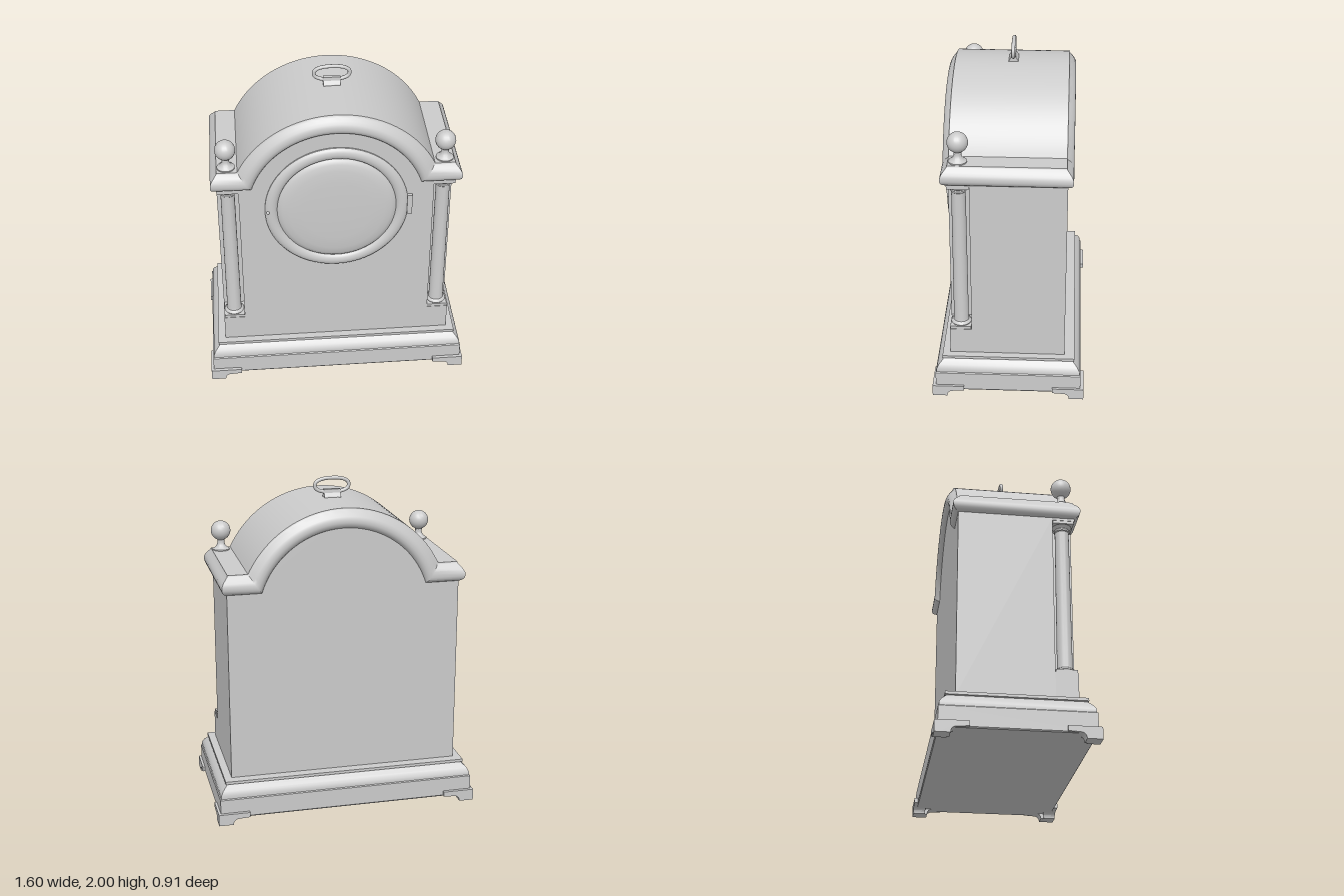
import * as THREE from 'three';
import { toCreasedNormals } from 'three/addons/utils/BufferGeometryUtils.js';

const material = new THREE.MeshStandardMaterial({ color: 0xcccccc });
const FRONT = 0.35, BACK = -0.335, HALF = 0.7; // case limits
const ARCH_Y = 1.24, ARCH_R = 0.52, SPRING = 1.4; // arch centre, inner radius, cornice height

// Skin over rows of points; closed rows wrap around
function loft(rows, closed, crease = 0.6) {
  const n = rows[0].length, index = [];
  for (let i = 0; i < rows.length - 1; i++) {
    for (let j = 0; j < (closed ? n : n - 1); j++) {
      const k = (j + 1) % n;
      const a = i * n + j, b = i * n + k, c = (i + 1) * n + k, d = (i + 1) * n + j;
      index.push(a, d, c, a, c, b);
    }
  }
  const g = new THREE.BufferGeometry();
  g.setAttribute('position', new THREE.Float32BufferAttribute(rows.flat(2), 3));
  g.setIndex(index);
  return toCreasedNormals(g, crease);
}

// Line of the cornice: flat, arch, flat, running from +x to -x
function archLine(d, p, z) {
  const r = ARCH_R + d, y = SPRING + d, start = Math.asin((y - ARCH_Y) / r), pts = [[HALF + p, y, z]];
  for (let i = 0; i <= 48; i++) {
    const a = start + (Math.PI - 2 * start) * i / 48;
    pts.push([r * Math.cos(a), ARCH_Y + r * Math.sin(a), z]);
  }
  pts.push([-HALF - p, y, z]);
  return pts;
}

function lathe(points, segments = 40) {
  const pts = points.map(([x, y]) => new THREE.Vector2(x, y));
  return toCreasedNormals(new THREE.LatheGeometry(pts, segments), 0.6);
}

export function createModel() {
  const model = new THREE.Group();
  const add = (name, geometry, x = 0, y = 0, z = 0, parent = model) => {
    const mesh = new THREE.Mesh(geometry, material);
    mesh.name = name;
    mesh.position.set(x, y, z);
    parent.add(mesh);
    return mesh;
  };
  // Box given by its limits
  const block = (name, x0, x1, y0, y1, z0, z1, parent) =>
    add(name, new THREE.BoxGeometry(x1 - x0, y1 - y0, z1 - z0),
      (x0 + x1) / 2, (y0 + y1) / 2, (z0 + z1) / 2, parent);

  // Moulded plinth
  const plinth = [[0.35, 0.035], [0.78, 0.035], [0.785, 0.042], [0.785, 0.155], [0.779, 0.16], [0.779, 0.18],
    [0.765, 0.205], [0.745, 0.225], [0.735, 0.235], [0.745, 0.238], [0.745, 0.255], [0.35, 0.255]];
  add('plinth', loft(plinth.map(([x, y]) => {
    const z = x - 0.35;
    return [[x, y, z], [-x, y, z], [-x, y, -z], [x, y, -z]];
  }), true));

  // L-shaped bracket feet
  const bracket = new THREE.Shape();
  bracket.moveTo(0, 0);
  bracket.lineTo(0.088, 0);
  bracket.quadraticCurveTo(0.09, 0.036, 0.125, 0.036);
  bracket.lineTo(0.19, 0.04);
  bracket.lineTo(0.19, 0.07);
  bracket.lineTo(0.006, 0.07);
  bracket.lineTo(0, 0.06);
  const bracketGeo = new THREE.ExtrudeGeometry(bracket, { depth: 0.075, bevelEnabled: false, curveSegments: 6 });
  // The arm along z is the mirror of the arm along x, with its corners reordered
  for (const [sx, sz] of [[1, 1], [-1, 1], [-1, -1], [1, -1]]) {
    const foot = new THREE.Group();
    foot.name = 'foot';
    const armX = add('footArm', bracketGeo, 0, 0, 0, foot);
    const armZ = add('footArm', bracketGeo, 0.075, 0, 0, foot);
    armZ.rotation.y = -Math.PI / 2;
    armX.position.set(0, 0, 0);
    foot.position.set(sx * 0.8, 0, sz * 0.455);
    foot.scale.set(-sx, 1, -sz);
    model.add(foot);
  }

  // Case: arched centre, and sides notched at the front for the columns
  const inner = 0.572, recess = 0.22;
  const centre = new THREE.Shape();
  centre.moveTo(-inner, 0.25);
  centre.lineTo(inner, 0.25);
  centre.lineTo(inner, SPRING);
  const start = Math.asin((SPRING - ARCH_Y) / ARCH_R);
  centre.absarc(0, ARCH_Y, ARCH_R, start, Math.PI - start, false);
  centre.lineTo(-inner, SPRING);
  add('caseCentre', new THREE.ExtrudeGeometry(centre,
    { depth: FRONT - BACK, bevelEnabled: false, curveSegments: 48 }), 0, 0, BACK);
  for (const s of [-1, 1]) {
    const [x0, x1] = s > 0 ? [inner, HALF] : [-HALF, -inner];
    block('caseSide', x0, x1, 0.25, SPRING, BACK, recess);
    block('columnPedestal', x0, x1, 0.25, 0.42, recess, FRONT);
    block('columnLintel', x0, x1, 1.385, SPRING, recess, FRONT);
  }

  // Cornice swept around all four sides, following the arch
  const cornice = [[0, -0.01], [0, 0.006], [0.008, 0.018], [0.02, 0.028], [0.035, 0.032], [0.055, 0.031],
    [0.07, 0.024], [0.085, 0.013], [0.1, 0], [0.105, -0.005], [0.115, -0.008]];
  add('cornice', loft(cornice.map(([d, p]) =>
    [...archLine(d, p, FRONT + p), ...archLine(d, p, BACK - p).reverse()]), true));
  const [topD, topP] = cornice.at(-1);
  add('roof', loft([archLine(topD, topP, FRONT + topP), archLine(topD, topP, BACK - topP)], false));

  // Columns and ball finials
  const shaft = lathe([[0.056, 0.437], [0.06, 0.444], [0.056, 0.453], [0.046, 0.46], [0.044, 0.475], [0.041, 1.33],
    [0.046, 1.335], [0.046, 1.345], [0.042, 1.35], [0.05, 1.362], [0.058, 1.37]], 32);
  const finialProfile = [[0.052, 1.51], [0.052, 1.522], [0.038, 1.53], [0.026, 1.545], [0.021, 1.56], [0.022, 1.58]];
  for (let i = 2; i <= 16; i++) {
    const a = -Math.PI / 2 + Math.PI * i / 16;
    finialProfile.push([Math.max(0, 0.06 * Math.cos(a)), 1.636 + 0.06 * Math.sin(a)]);
  }
  const finial = lathe(finialProfile, 32);
  for (const s of [-1, 1]) {
    const column = new THREE.Group();
    column.name = 'column';
    column.position.set(s * 0.635, 0, 0.285);
    model.add(column);
    add('shaft', shaft, 0, 0, 0, column);
    block('columnBase', -0.062, 0.062, 0.418, 0.438, -0.062, 0.062, column);
    block('columnCapital', -0.062, 0.062, 1.368, 1.387, -0.062, 0.062, column);
    add('finial', finial, s * 0.001, 0, 0, column);
  }

  // Round door: bezel, domed glass, hinge and catch
  const bezel = lathe([[0.422, -0.01], [0.422, 0.008], [0.414, 0.019], [0.4, 0.026], [0.384, 0.028],
    [0.368, 0.025], [0.356, 0.018], [0.35, 0.008]], 72);
  add('bezel', bezel, 0, ARCH_Y, FRONT).rotation.x = Math.PI / 2;
  const glass = lathe([[0.351, 0.008], [0.34, 0.019], [0.32, 0.028], [0.28, 0.036], [0.2, 0.041], [0.1, 0.043], [0, 0.044]], 72);
  add('glass', glass, 0, ARCH_Y, FRONT).rotation.x = Math.PI / 2;
  block('hinge', 0.415, 0.445, 1.18, 1.312, 0.34, 0.372);
  add('catch', new THREE.SphereGeometry(0.01, 16, 10), -0.405, ARCH_Y, 0.375);

  // Carrying handle on a tapered mount
  const mount = new THREE.Shape();
  [[-0.032, 1.86], [0.032, 1.86], [0.027, 1.88], [0.014, 1.9], [0.012, 1.922], [-0.012, 1.922], [-0.014, 1.9], [-0.027, 1.88]]
    .forEach(([x, y], i) => (i ? mount.lineTo(x, y) : mount.moveTo(x, y)));
  add('handleMount', new THREE.ExtrudeGeometry(mount, { depth: 0.1, bevelEnabled: false }), -0.05).rotation.y = Math.PI / 2;
  const loop = [];
  for (let i = 0; i < 24; i++) {
    const a = Math.PI * 2 * i / 24, c = Math.cos(a), s = Math.sin(a);
    loop.push(new THREE.Vector3(0.104 * Math.sign(c) * Math.abs(c) ** 0.85, 1.946 + 0.043 * Math.sign(s) * Math.abs(s) ** 0.85, 0));
  }
  add('handle', new THREE.TubeGeometry(new THREE.CatmullRomCurve3(loop, true), 64, 0.011, 12, true));

  return model;
}
